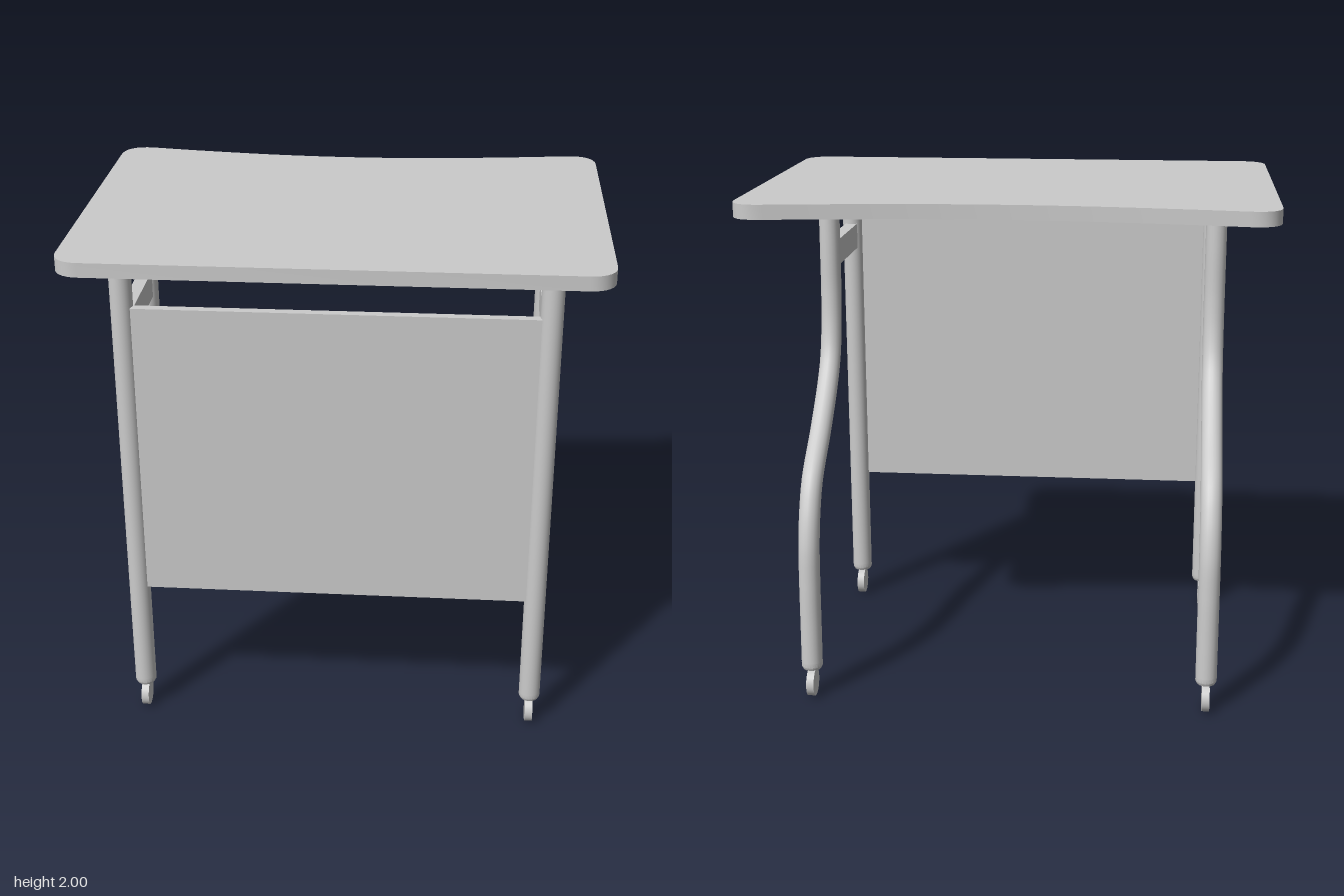
import * as THREE from 'three';
import { toCreasedNormals } from 'three/addons/utils/BufferGeometryUtils.js';

const material = new THREE.MeshStandardMaterial({ color: 0xcccccc });
const LEG_X = 0.786, LEG_R = 0.042, FRONT_Z = 0.54, LEG_BOTTOM = 0.115, TOP_BOTTOM = 1.945;

function add(parent, name, geometry, x = 0, y = 0, z = 0) {
  const mesh = new THREE.Mesh(geometry, material);
  mesh.name = name;
  mesh.position.set(x, y, z);
  parent.add(mesh);
  return mesh;
}

// Rounded slab with a shallow concave curve along the back edge
function topGeometry() {
  const s = new THREE.Shape();
  s.moveTo(-0.9, -0.71);
  s.lineTo(0.9, -0.71);
  s.bezierCurveTo(0.96, -0.71, 1, -0.67, 1, -0.61);
  s.lineTo(1, 0.61);
  s.bezierCurveTo(1, 0.68, 0.96, 0.725, 0.88, 0.713);
  s.splineThru([[0.65, 0.68], [0.32, 0.645], [0, 0.633], [-0.32, 0.645], [-0.65, 0.68], [-0.88, 0.713]]
    .map(([x, y]) => new THREE.Vector2(x, y)));
  s.bezierCurveTo(-0.96, 0.725, -1, 0.68, -1, 0.61);
  s.lineTo(-1, -0.61);
  s.bezierCurveTo(-1, -0.67, -0.96, -0.71, -0.9, -0.71);
  const g = new THREE.ExtrudeGeometry(s, { depth: 2 - TOP_BOTTOM, bevelEnabled: false, curveSegments: 8 });
  g.rotateX(-Math.PI / 2);
  return toCreasedNormals(g, 0.6);
}

// Closed foot with a chamfered rim, ending a leg at its bottom
function footGeometry() {
  const profile = [[0, 0], [LEG_R - 0.006, 0], [LEG_R, 0.012], [LEG_R, 0.03]]
    .map(([r, y]) => new THREE.Vector2(r, y));
  return toCreasedNormals(new THREE.LatheGeometry(profile, 24), 0.5);
}

// Centre line of the S-shaped rear leg, as [y, z]
const rearPath = new THREE.CatmullRomCurve3([
  [TOP_BOTTOM, 0.053], [1.72, 0.048], [1.52, 0.042], [1.38, 0.022], [1.27, -0.015], [1.18, -0.08],
  [1.02, -0.25], [0.87, -0.435], [0.76, -0.5], [0.63, -0.538], [0.48, -0.55], [0.3, -0.555], [0.13, -0.56],
].map(([y, z]) => new THREE.Vector3(0, y, z)));

function createSide(x, name) {
  const side = new THREE.Group();
  side.name = name;
  side.position.x = x;

  // Legs
  const height = TOP_BOTTOM - LEG_BOTTOM - 0.03;
  add(side, 'frontLeg', new THREE.CylinderGeometry(LEG_R, LEG_R, height, 24, 1, true),
    0, LEG_BOTTOM + 0.03 + height / 2, FRONT_Z);
  add(side, 'rearLeg', new THREE.TubeGeometry(rearPath, 48, LEG_R, 20));
  add(side, 'frontFoot', footGeometry(), 0, LEG_BOTTOM, FRONT_Z);
  add(side, 'rearFoot', footGeometry(), 0, LEG_BOTTOM, -0.56);

  // Bar tying the front leg to the rear leg
  add(side, 'sideBar', new THREE.BoxGeometry(0.05, 0.105, 0.46), 0, 1.682, 0.29);

  // Thin disc wheels under the feet
  const wheel = new THREE.CylinderGeometry(0.055, 0.055, 0.03, 28).rotateZ(Math.PI / 2);
  add(side, 'frontWheel', wheel, 0, 0.055, 0.533);
  add(side, 'rearWheel', wheel, 0, 0.055, -0.566);
  return side;
}

export function createModel() {
  const desk = new THREE.Group();
  desk.name = 'desk';
  add(desk, 'deskTop', topGeometry(), 0, TOP_BOTTOM, 0);
  // Flat screen panel between the front legs
  add(desk, 'frontPanel', new THREE.BoxGeometry(1.5, 1.19, 0.035), 0, 1.18, 0.553);
  desk.add(createSide(LEG_X, 'leftSide'), createSide(-LEG_X, 'rightSide'));
  return desk;
}
